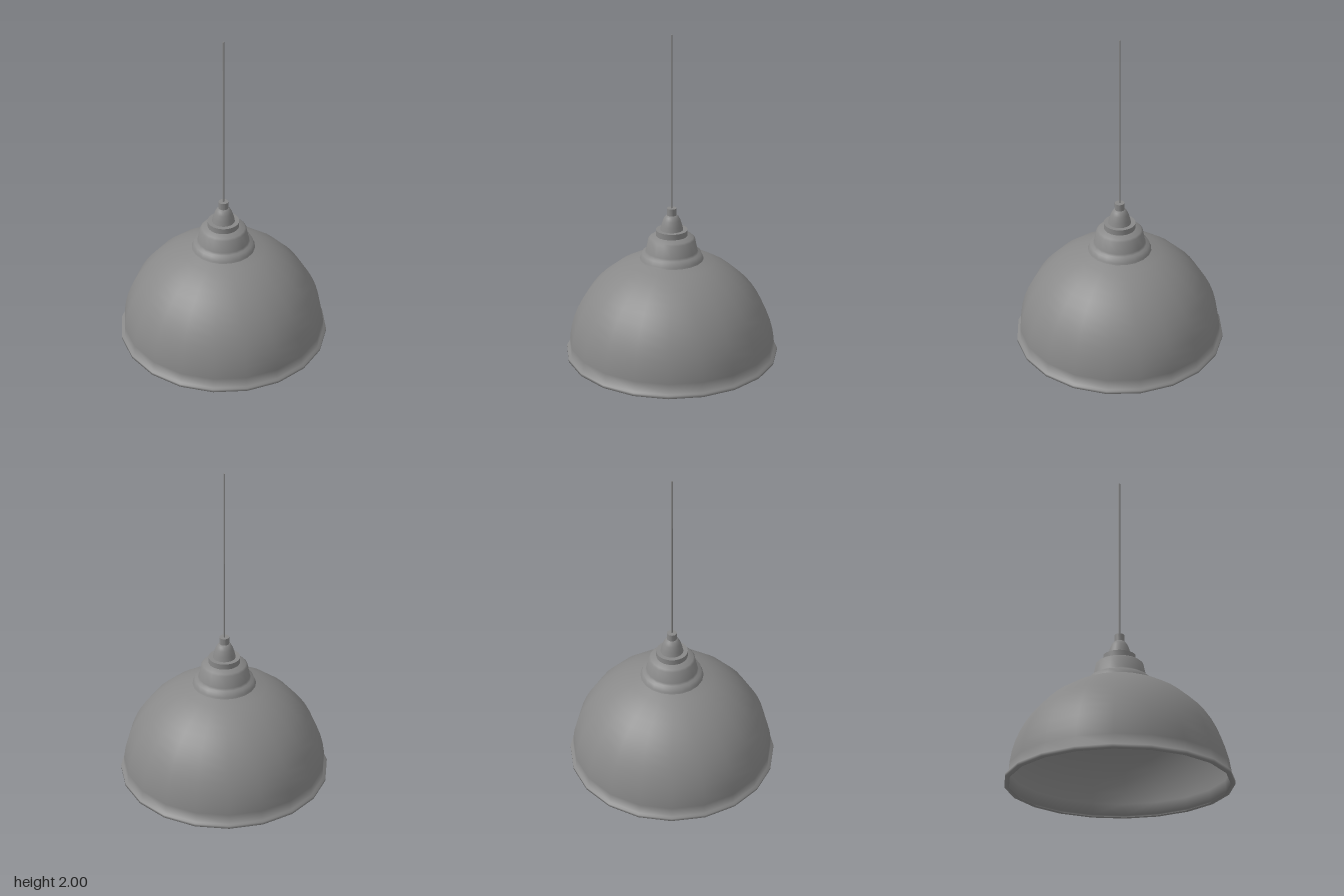
import * as THREE from 'three';
import { toCreasedNormals } from 'three/addons/utils/BufferGeometryUtils.js';

const material = new THREE.MeshStandardMaterial({ color: 0x888888, side: THREE.DoubleSide });

// Revolve a [radius, height] profile, listed upwards along its outside.
// Edges bent by more than the crease angle stay sharp.
function turned(name, profile, sides, crease = 0.6) {
  const points = profile.map(([r, y]) => new THREE.Vector2(r, y));
  const geometry = toCreasedNormals(new THREE.LatheGeometry(points, sides), crease);
  const mesh = new THREE.Mesh(geometry, material);
  mesh.name = name;
  return mesh;
}

// Points on an elliptical arc about the axis, angles in degrees above the horizon.
function arc(radius, height, centreY, from, to, steps) {
  return Array.from({ length: steps + 1 }, (_, i) => {
    const a = THREE.MathUtils.degToRad(from + (to - from) * i / steps);
    return [Math.max(0, radius * Math.cos(a)), centreY + height * Math.sin(a)];
  });
}

export function createModel() {
  const lamp = new THREE.Group();
  lamp.name = 'pendantLamp';

  // Open dome flowing softly into the lip around its mouth
  lamp.add(turned('shade', [
    [0.632, 0], [0.659, 0], [0.659, 0.018], ...arc(0.641, 0.629, 0.018, 0, 72.5, 12),
  ], 20, 1.65));

  // Stepped collar on top of the dome, with softened steps
  lamp.add(turned('collar', [
    [0.2, 0.61], [0.192, 0.625], [0.182, 0.653], [0.165, 0.656],
    [0.158, 0.67], [0.143, 0.745], [0.132, 0.755], [0.095, 0.768],
  ], 20, 1.65));
  lamp.add(turned('lockRing', [[0, 0.762], [0.097, 0.762], [0.097, 0.803], [0, 0.803]], 32));

  // Cord grip: tapered cover and its small cap
  lamp.add(turned('holderCover', [
    [0.07, 0.803], [0.064, 0.83], [0.053, 0.865], [0.042, 0.885], [0.029, 0.897], [0, 0.897],
  ], 24, 1.2));
  lamp.add(turned('cordGrip', [[0, 0.893], [0.03, 0.893], [0.03, 0.94], [0, 0.94]], 20));
  lamp.add(turned('cord', [[0, 0.93], [0.005, 0.93], [0.005, 2], [0, 2]], 8));

  // Socket and bulb hanging inside the shade
  lamp.add(turned('socket', [[0, 0.575], [0.07, 0.575], [0.07, 0.765], [0, 0.765]], 24));
  lamp.add(turned('bulb', [
    ...arc(0.118, 0.118, 0.39, -90, 40, 14), [0.07, 0.5], [0.055, 0.535], [0.05, 0.58],
  ], 24));

  return lamp;
}
